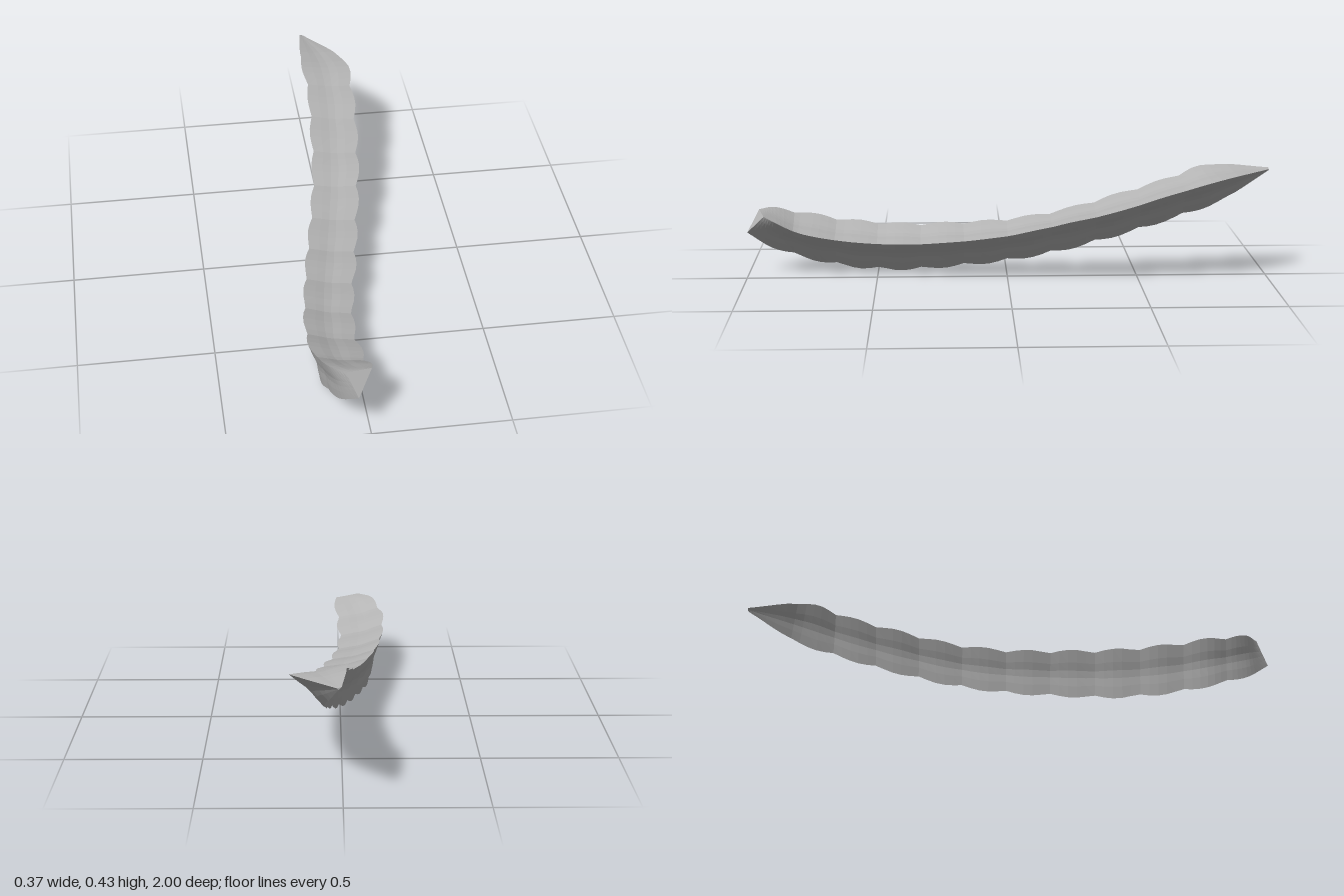
import * as THREE from 'three';

// Three long edges of the horn, each running from the pointed back to the blunt front
const UPPER = [[.005, .425, -1], [-.02, .435, -.77], [-.015, .38, -.6], [-.03, .315, -.4], [-.05, .255, -.2], [-.085, .215, 0],
  [-.125, .195, .2], [-.16, .185, .4], [-.185, .195, .6], [-.185, .225, .78], [-.145, .253, .9], [-.085, .257, .955]];
const LOWER = [[.015, .415, -1], [.06, .3, -.8], [.055, .225, -.6], [.04, .16, -.4], [.01, .1, -.2], [-.03, .055, 0],
  [-.07, .025, .2], [-.11, .003, .4], [-.135, .01, .6], [-.14, .045, .78], [-.1, .1, .91], [-.045, .173, 1]];
const SIDE = [[.02, .42, -1], [.17, .405, -.8], [.18, .35, -.6], [.165, .285, -.4], [.14, .235, -.2], [.105, .185, 0],
  [.07, .155, .2], [.03, .138, .4], [.005, .143, .6], [.01, .175, .78], [.018, .22, .88], [.01, .245, .93]];

const RINGS = 66;
const PERIOD = 0.165;
// Position along each side of the triangle, and how far it sinks towards the middle
const GROOVE = [[0, 0], [.25, .06], [.42, .13], [.6, .13], [.78, .06]];

function hornGeometry() {
  const edges = [UPPER, LOWER, SIDE].map(
    (list) => new THREE.CatmullRomCurve3(list.map((p) => new THREE.Vector3(...p)), false, 'catmullrom', 0.5));
  const positions = [];
  const index = [];
  const n = GROOVE.length * 3;
  const middle = new THREE.Vector3();

  for (let i = 0; i <= RINGS; i++) {
    const corners = edges.map((c) => c.getPoint(i / RINGS));
    middle.set(0, 0, 0);
    corners.forEach((c) => middle.addScaledVector(c, 1 / 3));

    // Rounded swellings with sharp notches between them, fading out at both ends
    const fade = THREE.MathUtils.smoothstep(middle.z, -0.9, -0.72) * (1 - THREE.MathUtils.smoothstep(middle.z, 0.88, 0.96));
    const swell = Math.abs(Math.cos(Math.PI * (middle.z - 0.41) / PERIOD));
    const scale = 1 - 0.14 * (1 - swell) * fade;
    const depth = 1 - 0.9 * THREE.MathUtils.smoothstep(middle.z, 0.88, 0.96);

    for (let s = 0; s < 3; s++) {
      for (const [t, sink] of GROOVE) {
        const p = corners[s].clone().lerp(corners[(s + 1) % 3], t);
        p.lerp(middle, sink * depth).sub(middle).multiplyScalar(scale).add(middle);
        positions.push(p.x, p.y, p.z);
      }
    }
  }

  // Skin between neighbouring rings
  for (let i = 0; i < RINGS; i++) {
    for (let j = 0; j < n; j++) {
      const a = i * n + j, b = i * n + (j + 1) % n;
      index.push(a, b, b + n, a, b + n, a + n);
    }
  }

  // Closed ends
  const last = RINGS * n;
  const centre = positions.length / 3;
  positions.push(middle.x, middle.y, middle.z);
  for (let j = 0; j < n; j++) index.push(centre, last + j, last + (j + 1) % n);
  for (let j = 1; j < n - 1; j++) index.push(0, j + 1, j);

  const g = new THREE.BufferGeometry();
  g.setAttribute('position', new THREE.Float32BufferAttribute(positions, 3));
  g.setIndex(index);
  const flat = g.toNonIndexed();
  flat.computeVertexNormals();
  return flat;
}

export function createModel() {
  const group = new THREE.Group();
  group.name = 'horn';
  const grey = new THREE.MeshStandardMaterial({ color: 0xb4b4b4, flatShading: true });
  grey.name = 'horn grey';
  const horn = new THREE.Mesh(hornGeometry(), grey);
  horn.name = 'ridgedHorn';
  group.add(horn);
  return group;
}
